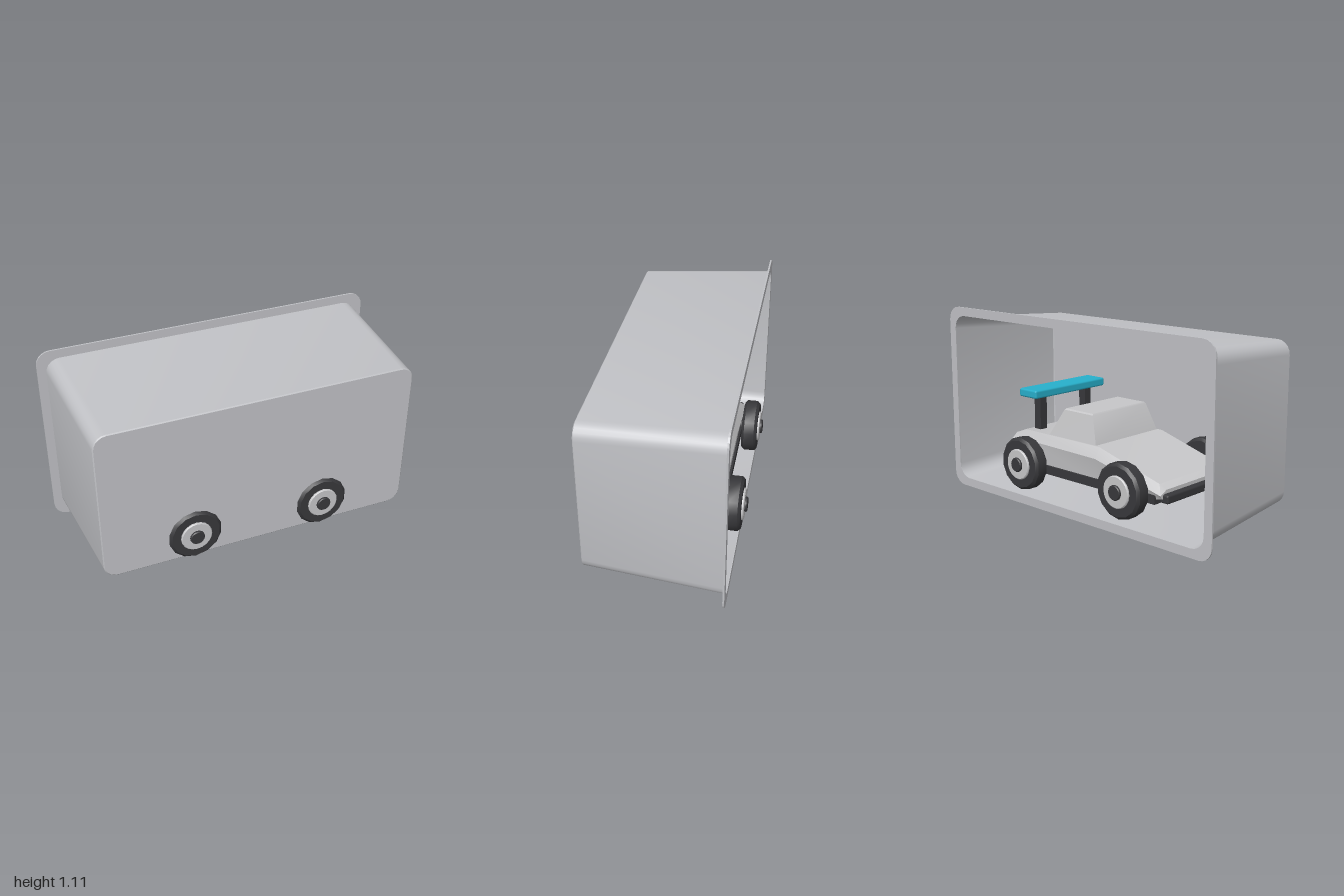
import * as THREE from 'three';
import { toCreasedNormals } from 'three/addons/utils/BufferGeometryUtils.js';
import { RoundedBoxGeometry } from 'three/addons/geometries/RoundedBoxGeometry.js';

const mat = (name, color, side = THREE.FrontSide) => {
  const m = new THREE.MeshStandardMaterial({ color, side });
  m.name = name;
  return m;
};

// Skin a series of closed loops; loops run counter-clockwise seen from the end.
function loft(loops, capStart = true, capEnd = true) {
  const n = loops[0].length, pos = [], index = [];
  loops.forEach(l => l.forEach(p => pos.push(...p)));
  for (let i = 0; i < loops.length - 1; i++) {
    for (let j = 0; j < n; j++) {
      const a = i * n + j, b = i * n + (j + 1) % n;
      index.push(a, b, b + n, a, b + n, a + n);
    }
  }
  const cap = (k, flip) => {
    const c = pos.length / 3;
    pos.push(...[0, 1, 2].map(d => loops[k].reduce((s, p) => s + p[d], 0) / n));
    for (let j = 0; j < n; j++) {
      const a = k * n + j, b = k * n + (j + 1) % n;
      if (flip) index.push(c, b, a); else index.push(c, a, b);
    }
  };
  if (capStart) cap(0, true);
  if (capEnd) cap(loops.length - 1, false);
  const g = new THREE.BufferGeometry();
  g.setAttribute('position', new THREE.Float32BufferAttribute(pos, 3));
  g.setIndex(index);
  return toCreasedNormals(g, 0.45);
}

// Counter-clockwise rounded rectangle, half sizes w and h, centred at height cy.
function roundedRect(w, h, r, cy, steps = 5) {
  const pts = [];
  [[1, 1], [-1, 1], [-1, -1], [1, -1]].forEach(([sx, sy], q) => {
    for (let i = 0; i <= steps; i++) {
      const t = (q + i / steps) * Math.PI / 2;
      pts.push(new THREE.Vector2(sx * (w - r) + r * Math.cos(t), cy + sy * (h - r) + r * Math.sin(t)));
    }
  });
  return pts;
}

const lathe = (pts, sides) => toCreasedNormals(
  new THREE.LatheGeometry(pts.map(p => new THREE.Vector2(...p)), sides).rotateX(Math.PI / 2), 0.5);

export function createModel() {
  const model = new THREE.Group();
  model.name = 'carInTray';
  const shellGrey = mat('shell grey', 0xc0c1c5, THREE.DoubleSide);
  const bodyGrey = mat('body grey', 0xc6c6c8);
  const dark = mat('dark rubber', 0x38383b);
  const teal = mat('teal', 0x27b0cc);

  const add = (parent, name, geometry, material, x = 0, y = 0, z = 0) => {
    const m = new THREE.Mesh(geometry, material);
    m.name = name;
    m.position.set(x, y, z);
    parent.add(m);
    return m;
  };

  // Tapered tray, open at the back
  const tray = new THREE.Group();
  tray.name = 'tray';
  model.add(tray);
  const ring = (w, h, r, z) => roundedRect(w, h, r, 0.553).map(p => [p.x, p.y, z]);
  add(tray, 'trayShell', loft([
    ring(0.95, 0.502, 0.08, -0.38),
    ring(0.911, 0.456, 0.078, 0.38),
    ring(0.905, 0.45, 0.072, 0.385),
  ], false, true), shellGrey);

  // Flat flange around the opening
  const flange = new THREE.Shape(roundedRect(1, 0.553, 0.08, 0.553));
  flange.holes.push(new THREE.Path(roundedRect(0.95, 0.502, 0.08, 0.553).reverse()));
  add(tray, 'flange', new THREE.ExtrudeGeometry(flange, { depth: 0.01, bevelEnabled: false }),
    shellGrey, 0, 0, -0.385);

  // Car, nose towards -x
  const car = new THREE.Group();
  car.name = 'car';
  model.add(car);

  // Body sections: x, bottom, shoulder, top, top half width
  const sections = [
    [-0.6, 0.22, 0.24, 0.265, 0.25],
    [-0.56, 0.21, 0.25, 0.29, 0.26],
    [-0.13, 0.21, 0.35, 0.41, 0.265],
    [0.47, 0.21, 0.36, 0.41, 0.265],
    [0.56, 0.21, 0.34, 0.375, 0.255],
    [0.575, 0.22, 0.32, 0.34, 0.25],
  ];
  add(car, 'body', loft(sections.map(([x, b, s, t, w]) => [
    [x, b, -0.285], [x, s, -0.3], [x, t, -w], [x, t, w], [x, s, 0.3], [x, b, 0.285],
  ])), bodyGrey);

  // Cabin, wider at its foot
  const rect = (x0, x1, z, y) => [[x1, y, z], [x1, y, -z], [x0, y, -z], [x0, y, z]];
  add(car, 'cabin', loft([
    rect(-0.1, 0.28, 0.26, 0.4),
    rect(-0.04, 0.185, 0.222, 0.565),
    rect(-0.032, 0.177, 0.214, 0.573),
  ]), bodyGrey);

  // Chassis and bumpers
  add(car, 'chassis', new THREE.BoxGeometry(1.12, 0.05, 0.6), dark, 0, 0.21, 0);
  for (const x of [-0.605, 0.595]) {
    add(car, 'bumper', new RoundedBoxGeometry(0.06, 0.05, 0.56, 1, 0.012), dark, x, 0.22, 0);
  }

  // Rear wing on two posts
  add(car, 'wing', new RoundedBoxGeometry(0.145, 0.05, 0.57, 1, 0.012), teal, 0.428, 0.632, 0);
  for (const z of [-0.185, 0.185]) {
    add(car, 'wingPost', new THREE.BoxGeometry(0.05, 0.23, 0.05), dark, 0.425, 0.5, z);
  }

  // Wheels, built facing +z and turned round for the far side
  const tyre = lathe([[0, -0.045], [0.14, -0.045], [0.155, -0.03], [0.155, 0.03],
    [0.14, 0.045], [0, 0.045]], 14);
  const rim = lathe([[0.09, 0.03], [0.09, 0.052], [0.085, 0.057], [0, 0.057]], 20);
  const hub = lathe([[0.042, 0.04], [0.042, 0.066], [0.038, 0.071], [0, 0.071]], 16);
  for (const x of [-0.385, 0.385]) {
    add(car, 'axle', new THREE.CylinderGeometry(0.03, 0.03, 0.64, 10).rotateX(Math.PI / 2), dark, x, 0.24, 0);
    for (const side of [-1, 1]) {
      const wheel = new THREE.Group();
      wheel.name = 'wheel';
      wheel.position.set(x, 0.24, side * 0.355);
      wheel.rotation.y = side < 0 ? Math.PI : 0;
      add(wheel, 'tyre', tyre, dark);
      add(wheel, 'rim', rim, bodyGrey);
      add(wheel, 'hub', hub, dark);
      car.add(wheel);
    }
  }
  return model;
}
